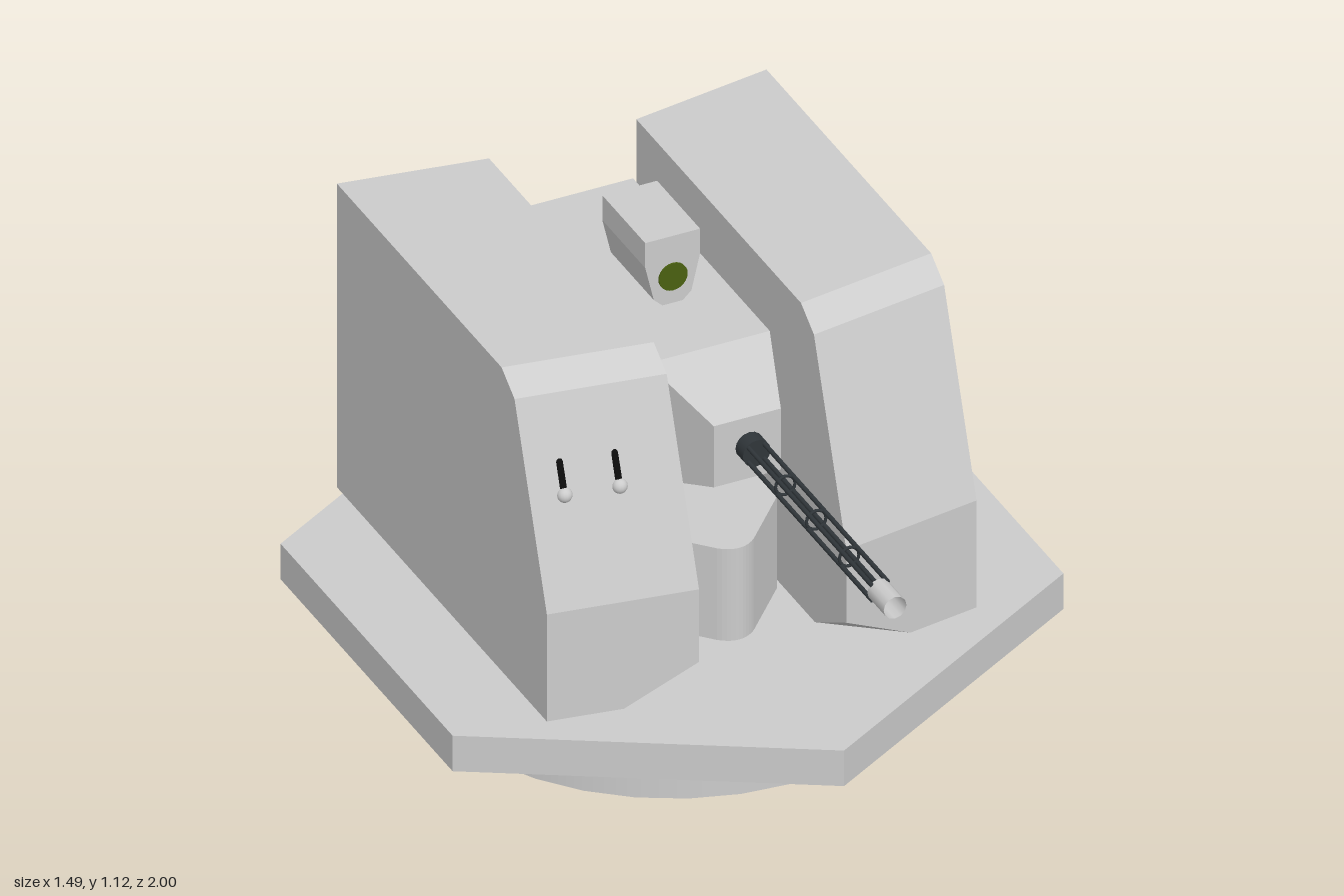
import * as THREE from 'three';
import { ConvexGeometry } from 'three/addons/geometries/ConvexGeometry.js';

const grey = new THREE.MeshStandardMaterial({ color: 0xcccccc });
const flat = new THREE.MeshStandardMaterial({ color: 0xcccccc, flatShading: true });
const open = new THREE.MeshStandardMaterial({ color: 0xcccccc, side: THREE.DoubleSide });
const dark = new THREE.MeshStandardMaterial({ color: 0x30363a });
const black = new THREE.MeshStandardMaterial({ color: 0x0c0c0c });
const green = new THREE.MeshStandardMaterial({ color: 0x4a6010 });

const CX = -0.015; // centre line of the turret

function part(parent, name, geometry, material, x = 0, y = 0, z = 0) {
  const mesh = new THREE.Mesh(geometry, material);
  mesh.name = name;
  mesh.position.set(x, y, z);
  parent.add(mesh);
  return mesh;
}

const hull = (pts) => new ConvexGeometry(pts.map((p) => new THREE.Vector3(...p)));

const shapeOf = (pts) => new THREE.Shape(pts.map((p) => new THREE.Vector2(...p)));

// cylinder lying along z
const rod = (r, length, sides = 16) => new THREE.CylinderGeometry(r, r, length, sides).rotateX(Math.PI / 2);

// Side housing: outer profile [z, y], swept forward towards the inner side, one clipped corner
function housing(side) {
  const inner = CX + side * 0.18, outer = CX + side * 0.525;
  const pts = [];
  for (const [z, y] of [[0.115, 1.045], [0.18, 1.0], [0.342, 0.53]]) {
    pts.push([outer, y, z], [inner, y, z + 0.055]);
  }
  for (const y of [0.25, 1.045]) pts.push([outer, y, -0.71], [inner, y, -0.655]);
  pts.push([outer, 0.25, 0.342], [inner, 0.34, 0.397]);
  pts.push([inner + side * 0.17, 0.25, 0.37], [inner, 0.25, 0.24]);
  return hull(pts);
}

export function createModel() {
  const model = new THREE.Group();
  model.name = 'gunTurret';

  // Base
  part(model, 'baseRing', new THREE.CylinderGeometry(0.595, 0.595, 0.15, 32), grey, 0, 0.075, -0.138);
  part(model, 'hexDeck', new THREE.CylinderGeometry(0.862, 0.862, 0.093, 6), flat, 0, 0.1965, -0.138);

  // Housings either side of the gun
  part(model, 'leftHousing', housing(1), flat);
  part(model, 'rightHousing', housing(-1), flat);

  // Access panel with bolts on the left housing
  const panel = shapeOf([[0.65, 0.305], [0.65, 0.99], [-0.105, 0.99], [-0.14, 0.965], [-0.285, 0.525], [-0.285, 0.305]]);
  part(model, 'accessPanel', new THREE.ExtrudeGeometry(panel, { depth: 0.005, bevelEnabled: false }).rotateY(Math.PI / 2), flat, 0.509, 0, 0);
  const boltGeo = new THREE.CylinderGeometry(0.023, 0.023, 0.01, 12).rotateZ(Math.PI / 2);
  const bolts = [[-0.62, 0.96], [-0.29, 0.96], [0.09, 0.96], [0.18, 0.64], [0.24, 0.335], [-0.21, 0.335], [-0.62, 0.335], [-0.62, 0.69]];
  for (const [z, y] of bolts) part(model, 'panelBolt', boltGeo, grey, 0.516, y, z);

  // Levers on the right housing's sloping face
  for (const [x, z] of [[-0.46, 0.247], [-0.335, 0.267]]) {
    const lever = new THREE.Group();
    lever.name = 'lever';
    lever.position.set(x, 0.82, z);
    lever.rotation.x = -0.337;
    part(lever, 'leverSlot', new THREE.CapsuleGeometry(0.011, 0.06, 4, 10), black);
    part(lever, 'leverKnob', new THREE.SphereGeometry(0.018, 16, 12), grey, 0, -0.047, 0.004);
    model.add(lever);
  }

  // Pedestal with a rounded wedge nose
  const plan = new THREE.Shape();
  plan.moveTo(-0.165, 0.16);
  plan.lineTo(-0.165, -0.08);
  plan.lineTo(-0.045, -0.21);
  plan.quadraticCurveTo(0, -0.25, 0.045, -0.21);
  plan.lineTo(0.165, -0.08);
  plan.lineTo(0.165, 0.16);
  part(model, 'pedestal', new THREE.ExtrudeGeometry(plan, { depth: 0.24, bevelEnabled: false, curveSegments: 10 }).rotateX(-Math.PI / 2), grey, CX, 0.25, 0);

  // Gun body with tapered front
  const body = [];
  for (const [h, hy, z] of [[0.15, 0.15, -0.61], [0.15, 0.15, 0.075], [0.082, 0.08, 0.27]]) {
    for (const sx of [-1, 1]) for (const sy of [-1, 1]) body.push([sx * h, sy * hy, z]);
  }
  part(model, 'gunBody', hull(body), flat, CX, 0.775, 0);

  // Caged barrel
  const barrel = new THREE.Group();
  barrel.name = 'barrel';
  barrel.position.set(-0.01, 0.781, 0);
  model.add(barrel);
  part(barrel, 'barrelCollar', rod(0.034, 0.04), dark, 0, 0, 0.287);
  for (const sx of [-1, 1]) for (const sy of [-1, 1]) {
    part(barrel, 'barrelRod', rod(0.0055, 0.63, 8), dark, sx * 0.019, sy * 0.019, 0.61);
  }
  for (const z of [0.45, 0.605, 0.77]) {
    part(barrel, 'barrelRing', new THREE.TorusGeometry(0.024, 0.004, 6, 16), dark, 0, 0, z);
  }
  part(barrel, 'muzzle', new THREE.CylinderGeometry(0.028, 0.028, 0.082, 12, 1, true).rotateX(Math.PI / 2), open, 0, 0, 0.959);
  part(barrel, 'muzzlePlate', rod(0.027, 0.006, 12), grey, 0, 0, 0.922);

  // Sight on top
  const sight = shapeOf([[-0.067, 0.175], [-0.067, 0.11], [-0.046, 0.02], [-0.025, 0], [0.025, 0], [0.046, 0.02], [0.067, 0.11], [0.067, 0.175]]);
  part(model, 'sightHousing', new THREE.ExtrudeGeometry(sight, { depth: 0.215, bevelEnabled: false }), flat, -0.017, 0.94, -0.315);
  part(model, 'sightLens', rod(0.035, 0.006, 24), green, -0.017, 1.01, -0.099);
  part(model, 'sightPost', new THREE.CylinderGeometry(0.006, 0.006, 0.03, 10), grey, -0.027, 0.93, -0.2);

  return model;
}
